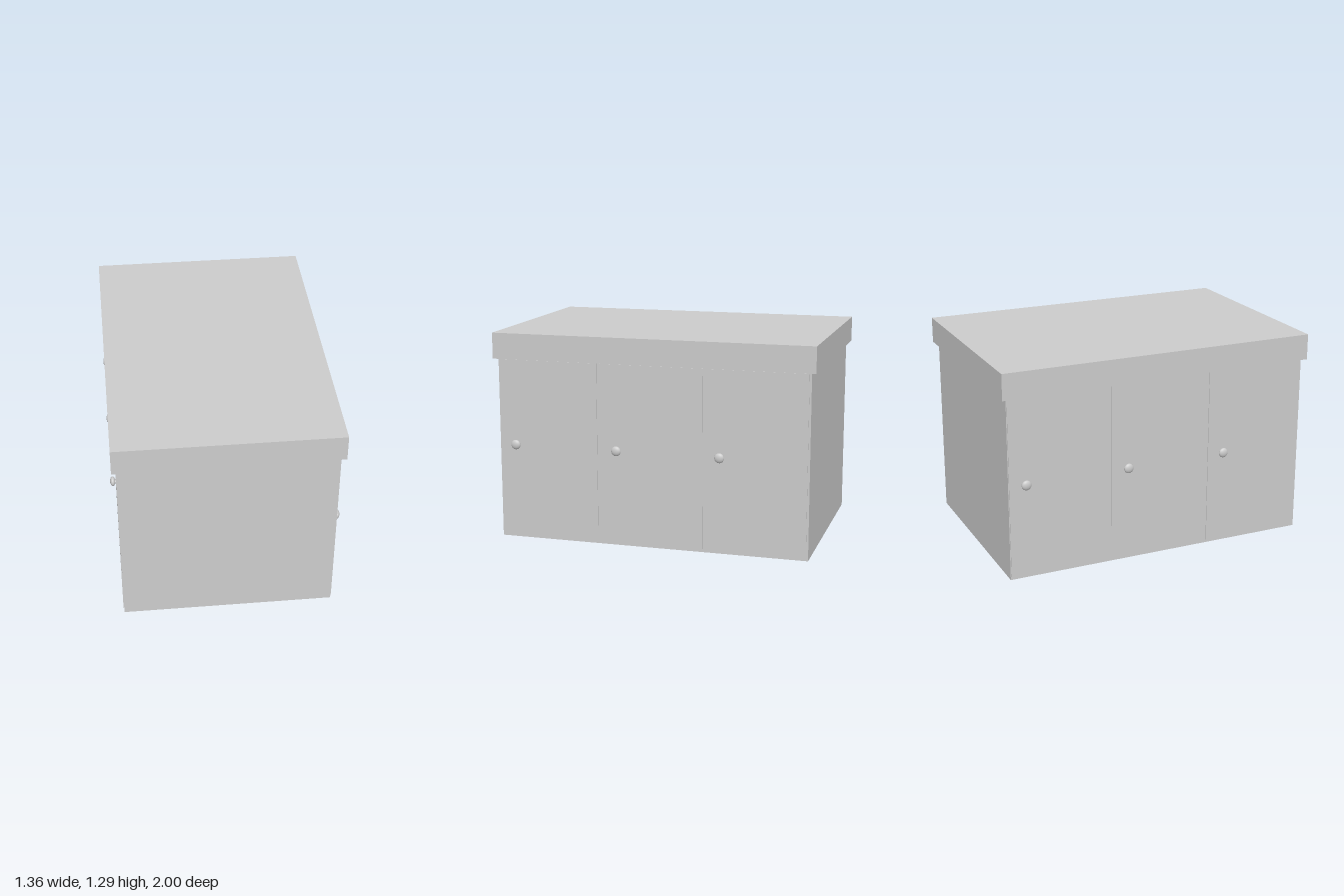
import * as THREE from 'three';

const material = new THREE.MeshStandardMaterial({ color: 0xcccccc });

// Box given by its minimum and maximum corners
function box(name, [x0, y0, z0], [x1, y1, z1]) {
  const mesh = new THREE.Mesh(new THREE.BoxGeometry(x1 - x0, y1 - y0, z1 - z0), material);
  mesh.name = name;
  mesh.position.set((x0 + x1) / 2, (y0 + y1) / 2, (z0 + z1) / 2);
  return mesh;
}

// Flattened round knob on a short stem, pointing along +x
function knob(z) {
  const group = new THREE.Group();
  group.name = 'knob';
  const stem = new THREE.Mesh(new THREE.CylinderGeometry(0.014, 0.014, 0.03, 24), material);
  stem.name = 'knobStem';
  stem.rotation.z = Math.PI / 2;
  stem.position.x = 0.65;
  const head = new THREE.Mesh(new THREE.SphereGeometry(0.03, 32, 20), material);
  head.name = 'knobHead';
  head.scale.x = 0.55;
  head.position.x = 0.664;
  group.add(stem, head);
  group.position.set(0, 0.597, z);
  return group;
}

// Three doors with knobs on the +x face
function doorSide(name) {
  const side = new THREE.Group();
  side.name = name;
  const doors = [
    { from: 0.34, to: 0.965, knobZ: 0.865 },
    { from: -0.323, to: 0.318, knobZ: 0.213 },
    { from: -0.957, to: -0.333, knobZ: -0.43 },
  ];
  for (const { from, to, knobZ } of doors) {
    side.add(box('door', [0.62, 0.02, from], [0.645, 1.125, to]), knob(knobZ));
  }
  return side;
}

export function createModel() {
  const model = new THREE.Group();
  model.name = 'cabinet';

  // Carcass and overhanging worktop
  model.add(box('carcass', [-0.64, 0, -0.97], [0.64, 1.13, 0.975]));
  model.add(box('worktop', [-0.67, 1.13, -1], [0.67, 1.29, 1]));

  // The two door sides are half-turn copies of each other
  const leftDoors = doorSide('leftDoors');
  const rightDoors = doorSide('rightDoors');
  rightDoors.rotation.y = Math.PI;
  model.add(leftDoors, rightDoors);

  return model;
}
